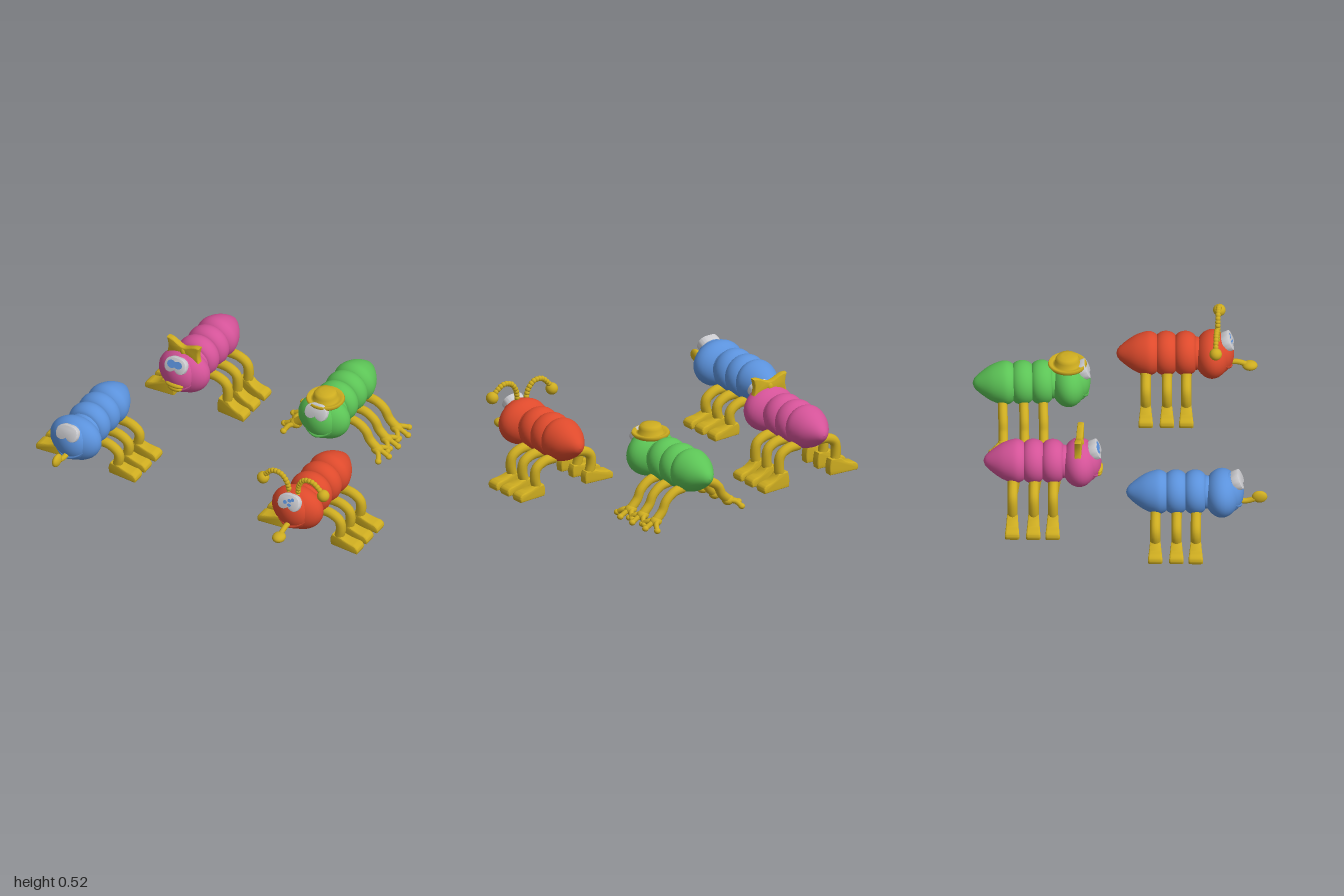
import * as THREE from 'three';
import { toCreasedNormals } from 'three/addons/utils/BufferGeometryUtils.js';

const mat = (name, color) => Object.assign(new THREE.MeshStandardMaterial({ color }), { name });
const M = {
  blue: mat('blue skin', 0x5b92dc), red: mat('red skin', 0xde4a2c), green: mat('green skin', 0x5cc456),
  pink: mat('pink skin', 0xd45398), gold: mat('gold', 0xcdac20), white: mat('eye white', 0xcbcbcf),
};
const V = (x, y, z) => new THREE.Vector3(x, y, z);

function add(parent, name, geo, material, x = 0, y = 0, z = 0) {
  const m = new THREE.Mesh(geo, material);
  m.name = name;
  m.position.set(x, y, z);
  parent.add(m);
  return m;
}
function ball(parent, name, material, p, r) {
  const m = add(parent, name, new THREE.SphereGeometry(1, 28, 20), material, ...p);
  m.scale.set(...r);
  return m;
}
function tube(parent, name, material, pts, r) {
  const path = new THREE.CatmullRomCurve3(pts.map(p => V(...p)));
  return add(parent, name, new THREE.TubeGeometry(path, 20, r, 12), material);
}
// lathe whose axis runs along z; profile is [radius, z]
function latheZ(profile) {
  return new THREE.LatheGeometry(profile.map(p => new THREE.Vector2(...p)), 36).rotateX(Math.PI / 2);
}

// abdomen, two rings and neck; the tail tip is at z = 0
function addBody(g, skin, y) {
  const curve = new THREE.SplineCurve([[0.001, 0], [0.03, 0.012], [0.068, 0.055], [0.1, 0.105], [0.119, 0.16],
    [0.117, 0.195], [0.095, 0.225], [0.05, 0.24]].map(p => new THREE.Vector2(...p)));
  add(g, 'abdomen', latheZ(curve.getPoints(32).map(p => [p.x, p.y])), skin, 0, y, 0);
  [0.27, 0.375].forEach((z, i) => {
    const ring = [];
    for (let k = -8; k <= 8; k++) {
      const u = k / 8;
      ring.push([0.07 + 0.052 * Math.sqrt(1 - u * u), u * 0.062]);
    }
    add(g, 'bodyRing' + (i + 1), latheZ(ring), skin, 0, y, z);
  });
  ball(g, 'neck', skin, [0, y, 0.43], [0.095, 0.09, 0.06]);
}

// bean-shaped eye plate with a notch below
function eyeShape() {
  const s = new THREE.Shape();
  s.moveTo(0, -0.022);
  s.bezierCurveTo(0.015, -0.05, 0.06, -0.05, 0.062, -0.012);
  s.bezierCurveTo(0.064, 0.03, 0.035, 0.044, 0, 0.04);
  s.bezierCurveTo(-0.035, 0.044, -0.064, 0.03, -0.062, -0.012);
  s.bezierCurveTo(-0.06, -0.05, -0.015, -0.05, 0, -0.022);
  return s;
}

function addHead(g, skin, y, spots) {
  const head = new THREE.Group();
  head.name = 'head';
  head.position.set(0, y, 0.52);
  g.add(head);
  ball(head, 'skull', skin, [0, 0, 0], [0.152, 0.128, 0.098]);
  ball(head, 'muzzle', skin, [0, 0.005, 0.035], [0.105, 0.115, 0.085]);
  // smile ridge
  const smile = [-1, -0.6, 0, 0.6, 1].map(t => [t * 0.085, -0.065 + 0.045 * t * t, 0.1 - 0.035 * t * t]);
  tube(head, 'smile', skin, smile, 0.012);
  // eye plate, leaning back with the forehead
  const eyes = new THREE.Group();
  eyes.name = 'eyes';
  eyes.position.set(0, 0.08, 0.068);
  eyes.rotation.x = -0.42;
  head.add(eyes);
  const plate = new THREE.ExtrudeGeometry(eyeShape(), { depth: 0.034, bevelSize: 0.003, bevelThickness: 0.004, bevelSegments: 2, curveSegments: 12 });
  add(eyes, 'eyeWhite', toCreasedNormals(plate, 0.7), M.white);
  spots.forEach(([x, yy, rx, ry]) => {
    const d = add(eyes, 'pupil', new THREE.CircleGeometry(1, 20), M.blue, x, yy, 0.0395);
    d.scale.set(rx, ry, 1);
  });
  return head;
}

// boot seen from the side, flaring toward the toe
function bootGeometry(h) {
  const s = new THREE.Shape();
  s.moveTo(0.145, 0.006);
  s.lineTo(0.305, 0.006);
  s.quadraticCurveTo(0.318, 0.03, 0.29, 0.042);
  s.quadraticCurveTo(0.235, 0.048, 0.205, h);
  s.lineTo(0.15, h);
  s.quadraticCurveTo(0.136, 0.04, 0.145, 0.006);
  const geo = new THREE.ExtrudeGeometry(s, { depth: 0.04, bevelSize: 0.006, bevelThickness: 0.008, bevelSegments: 3, curveSegments: 8 });
  geo.translate(0, 0, -0.02);
  const p = geo.attributes.position;
  for (let i = 0; i < p.count; i++) {
    const t = THREE.MathUtils.clamp((p.getX(i) - 0.15) / 0.16, 0, 1);
    p.setZ(i, p.getZ(i) * (0.9 + 0.5 * t));
  }
  return toCreasedNormals(geo, 0.8);
}

// three pairs of legs; the far side is the same leg turned round
function addLegs(g, y, floor, kind) {
  for (const z of [0.16, 0.275, 0.38]) for (const side of [1, -1]) {
    const leg = new THREE.Group();
    leg.name = side > 0 ? 'leftLeg' : 'rightLeg';
    leg.position.set(0, floor, z);
    if (side < 0) leg.rotation.y = Math.PI;
    g.add(leg);
    const top = y - floor - 0.095;
    if (kind === 'claw') {
      tube(leg, 'shin', M.gold, [[0.06, top + 0.01, 0], [0.125, top, 0], [0.18, 0.14, 0], [0.205, 0.09, 0], [0.25, 0.045, 0]], 0.026);
      ball(leg, 'palm', M.gold, [0.25, 0.042, 0], [0.035, 0.028, 0.032]);
      for (const k of [-1, 0, 1]) {
        const end = [0.322 - 0.03 * Math.abs(k), 0.016, k * 0.066];
        tube(leg, 'toe', M.gold, [[0.24, 0.045, k * 0.01], [0.275, 0.038, k * 0.035], end], 0.014);
        ball(leg, 'toeTip', M.gold, end, [0.018, 0.016, 0.018]);
      }
    } else {
      tube(leg, 'shin', M.gold, [[0.06, top + 0.005, 0], [0.13, top, 0], [0.18, top - 0.03, 0], [0.19, 0.11, 0], [0.175, 0.04, 0]], 0.028);
      add(leg, 'foot', bootGeometry(kind === 'boot' ? 0.085 : 0.062), M.gold);
    }
  }
}

function addTongue(head, tip, width, thick) {
  tube(head, 'tongue', M.gold, [[0, -0.05, 0.09], [0, -0.05, 0.14], [0, tip, 0.21]], 0.015);
  ball(head, 'tongueTip', M.gold, [0, tip, 0.205], [width, thick, 0.042]);
}

function addAntennae(head) {
  const pair = new THREE.Group();
  pair.name = 'antennae';
  pair.position.z = 0.03;
  pair.rotation.set(0, -0.05, 0.08);
  head.add(pair);
  for (const s of [1, -1]) {
    const pts = [[0.025, 0.09, 0], [0.04, 0.17, 0], [0.075, 0.213, 0], [0.125, 0.218, 0], [0.165, 0.19, 0], [0.195, 0.15, 0]].map(p => [s * p[0], p[1], 0]);
    tube(pair, 'stalk', M.gold, pts, 0.011);
    const path = new THREE.CatmullRomCurve3(pts.map(p => V(...p)));
    for (let i = 0; i <= 14; i++) {
      const bead = add(pair, 'bead', new THREE.SphereGeometry(0.0155, 10, 8), M.gold);
      bead.position.copy(path.getPointAt(i / 15));
    }
    ball(pair, 'knob', M.gold, pts[5], [0.034, 0.034, 0.034]);
  }
}

function addHat(head) {
  const brim = [[0.001, 0.1], [0.065, 0.095], [0.095, 0.103], [0.106, 0.118], [0.1, 0.13], [0.082, 0.12], [0.068, 0.12],
    [0.066, 0.148], [0.055, 0.166], [0.03, 0.173], [0.001, 0.174]].map(p => new THREE.Vector2(...p));
  add(head, 'hat', new THREE.LatheGeometry(brim, 36), M.gold, 0.005, 0, -0.005);
}

function addBow(head) {
  const s = new THREE.Shape();
  s.moveTo(0, 0.025);
  s.bezierCurveTo(0.04, 0.03, 0.06, 0.06, 0.1, 0.058);
  s.bezierCurveTo(0.085, 0.02, 0.09, -0.02, 0.104, -0.052);
  s.bezierCurveTo(0.07, -0.05, 0.04, -0.03, 0, -0.025);
  s.bezierCurveTo(-0.04, -0.03, -0.07, -0.05, -0.104, -0.052);
  s.bezierCurveTo(-0.09, -0.02, -0.085, 0.02, -0.1, 0.058);
  s.bezierCurveTo(-0.06, 0.06, -0.04, 0.03, 0, 0.025);
  const geo = new THREE.ExtrudeGeometry(s, { depth: 0.02, bevelSize: 0.006, bevelThickness: 0.008, bevelSegments: 3, curveSegments: 8 });
  const bow = add(head, 'bow', toCreasedNormals(geo, 0.8), M.gold, 0, 0.127, -0.01);
  bow.rotation.y = -0.07;
  ball(head, 'bowKnot', M.gold, [0, 0.127, 0], [0.024, 0.032, 0.026]);
}

export function createModel() {
  const model = new THREE.Group();
  model.name = 'bugs';
  const bug = (name, skin, x, z, yaw, y, floor, kind, spots = []) => {
    const g = new THREE.Group();
    g.name = name;
    g.position.set(x, 0, z);
    g.rotation.y = yaw;
    model.add(g);
    addBody(g, skin, y);
    addLegs(g, y, floor, kind);
    return addHead(g, skin, y - 0.005, spots);
  };
  const blue = bug('blueBug', M.blue, -0.667, 0, -0.06, 0.282, 0.015, 'shoe');
  addTongue(blue, -0.025, 0.02, 0.036);

  const red = bug('redBug', M.red, 0.69, 0.02, -0.055, 0.285, 0, 'shoe',
    [[-0.02, -0.005, 0.012, 0.01], [0.005, 0.01, 0.013, 0.009], [0.022, 0.018, 0.01, 0.009], [0.008, -0.015, 0.012, 0.008]]);
  addTongue(red, -0.075, 0.036, 0.026);
  addAntennae(red);

  const pink = bug('pinkBug', M.pink, -0.385, -0.76, -0.07, 0.325, 0.015, 'boot',
    [[-0.022, 0.002, 0.026, 0.023], [0.018, 0.004, 0.026, 0.021]]);
  addBow(pink);
  ball(pink, 'upperLip', M.gold, [0, -0.032, 0.108], [0.055, 0.016, 0.022]);
  ball(pink, 'lowerLip', M.gold, [0, -0.055, 0.102], [0.044, 0.019, 0.024]);

  const green = bug('greenBug', M.green, 0.435, -0.775, -0.025, 0.287, 0.012, 'claw');
  addHat(green);
  return model;
}
